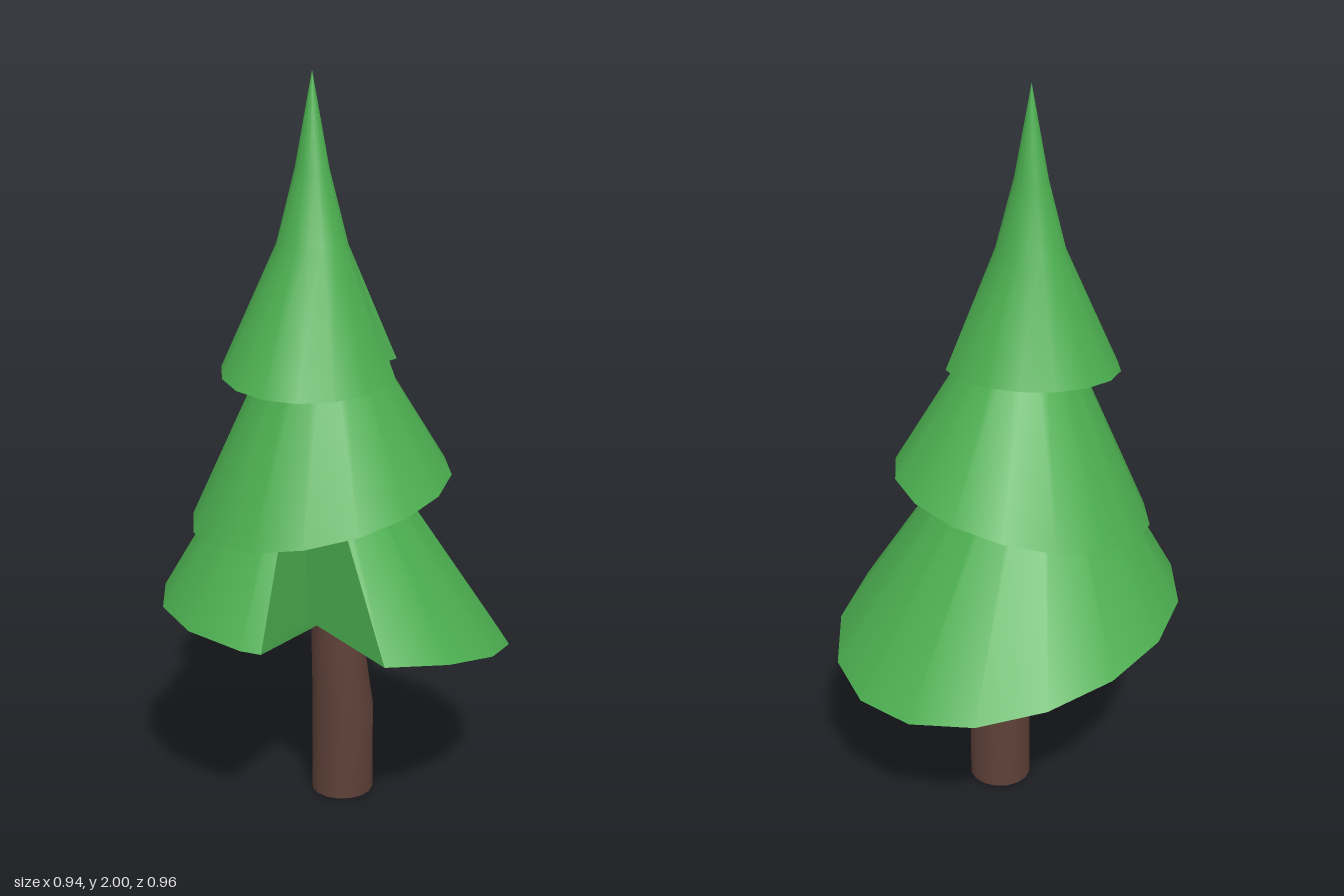
import * as THREE from 'three';
import { toCreasedNormals } from 'three/addons/utils/BufferGeometryUtils.js';

const SIDES = 16;
const V = (x, y, z) => new THREE.Vector3(x, y, z);

// Ring of points counted from the front (+z) towards +x; y may be a rule of (sin, cos).
function ring(cx, cz, rx, rz, y) {
  return Array.from({ length: SIDES }, (_, i) => {
    const a = (i / SIDES) * Math.PI * 2, s = Math.sin(a), c = Math.cos(a);
    return V(cx + rx * s, typeof y === 'function' ? y(s, c) : y, cz + rz * c);
  });
}

// Skin stacked rings from bottom to top and close both ends with fans.
function loft(rings, crease) {
  const pos = [];
  const tri = (a, b, c) => {
    const n = b.clone().sub(a).cross(c.clone().sub(a));
    if (n.length() > 1e-7) for (const p of [a, b, c]) pos.push(p.x, p.y, p.z);
  };
  const middle = r => r.reduce((m, p) => m.add(p), V(0, 0, 0)).divideScalar(r.length);
  const top = rings[rings.length - 1], low = rings[0];
  const n = low.length, mTop = middle(top), mLow = middle(low);
  for (let i = 0; i < n; i++) {
    const j = (i + 1) % n;
    for (let k = 0; k + 1 < rings.length; k++) {
      const a = rings[k], b = rings[k + 1];
      tri(a[i], a[j], b[j]);
      tri(a[i], b[j], b[i]);
    }
    tri(low[j], low[i], mLow);
    tri(top[i], top[j], mTop);
  }
  const geo = new THREE.BufferGeometry();
  geo.setAttribute('position', new THREE.Float32BufferAttribute(pos, 3));
  return toCreasedNormals(geo, crease);
}

// Cut a wedge at corner i: the rim is pulled in to (x, z) and the cut closes
// at corner i of the ring above.
function notch(rings, i, x, z, t) {
  const rim = rings[0], corner = rim[i], next = rim[i + 1];
  const edge = rim[i - 1].clone().lerp(corner, t);
  rim.splice(i, 1, edge, V(x, corner.y, z), next.clone());
  for (const r of rings.slice(1)) r.splice(i, 1, r[i], r[i].clone(), r[i].clone());
  return rings;
}

export function createModel() {
  const tree = new THREE.Group();
  tree.name = 'pineTree';
  const green = new THREE.MeshStandardMaterial({ color: 0x4caf50 });
  const brown = new THREE.MeshStandardMaterial({ color: 0x5d4037 });
  const add = (name, rings, material) => {
    const mesh = new THREE.Mesh(loft(rings, 0.6), material);
    mesh.name = name;
    tree.add(mesh);
  };

  // Slightly bent, tapering trunk
  add('trunk', [
    ring(-0.004, -0.025, 0.086, 0.086, 0),
    ring(-0.002, -0.025, 0.085, 0.085, 0.26),
    ring(-0.005, -0.012, 0.075, 0.075, 0.42),
    ring(-0.007, -0.004, 0.066, 0.066, 0.6),
  ], brown);

  // Wide tier: hangs low at the back, wedge cut out at the front left
  add('lowerBranches', notch([
    ring(0, 0, 0.468, 0.48, (s, c) => 0.515 + 0.095 * c + 0.035 * s * s),
    ring(0.01, 0.1, 0.06, 0.06, 1.2),
  ], 2, 0.11, 0.18, 0.3), green);

  // Middle tier: tilted the other way
  add('middleBranches', [
    ring(-0.003, 0.05, 0.352, 0.344, (s, c) => 0.89 - 0.07 * c + 0.03 * s),
    ring(0.02, 0.07, 0.085, 0.085, 1.4),
  ], green);

  // Top tier: pointed, with a wedge cut out at the back left
  add('topBranches', notch([
    ring(0.01, 0.092, 0.233, 0.233, (s, c) => 1.245 - 0.02 * c - 0.02 * s),
    ring(0.005, 0.08, 0.095, 0.09, 1.57),
    ring(0.001, 0.077, 0.045, 0.043, 1.76),
    ring(0, 0.075, 0, 0, 2),
  ], 6, 0.095, -0.005, 0.5), green);

  return tree;
}
